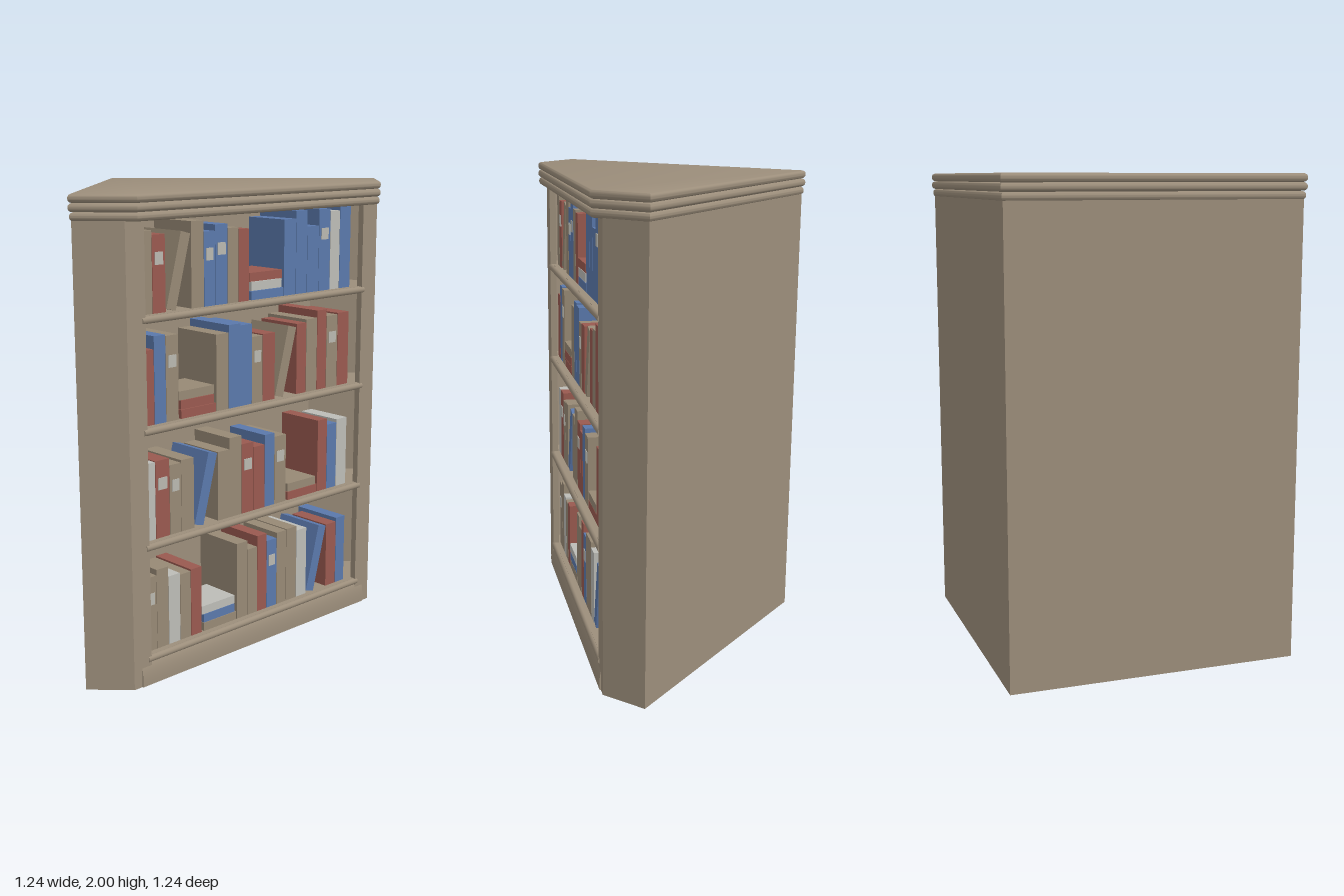
import * as THREE from 'three';
import { toCreasedNormals } from 'three/addons/utils/BufferGeometryUtils.js';

const mat = (name, color) => {
  const m = new THREE.MeshStandardMaterial({ color });
  m.name = name;
  return m;
};

const add = (parent, name, geo, material, x = 0, y = 0, z = 0) => {
  const mesh = new THREE.Mesh(geo, material);
  mesh.name = name;
  mesh.position.set(x, y, z);
  parent.add(mesh);
  return mesh;
};

// Completes half a floor plan of [x, z] points by mirroring it across the x = z diagonal
const mirrored = half => [...half, ...half.filter(([x, z]) => x !== z).map(([x, z]) => [z, x]).reverse()];

// Floor plan extruded between two heights, optionally with a rounded edge
function slab(plan, y0, y1, round = 0) {
  const shape = new THREE.Shape(plan.map(([x, z]) => new THREE.Vector2(x, z)));
  const geo = new THREE.ExtrudeGeometry(shape, {
    depth: y1 - y0 - 2 * round, bevelEnabled: round > 0, bevelSize: round,
    bevelThickness: round, bevelOffset: -round, bevelSegments: 5,
  });
  geo.rotateX(Math.PI / 2).translate(0, y1 - round, 0);
  return round ? toCreasedNormals(geo, 0.7) : geo;
}

export function createModel() {
  const model = new THREE.Group();
  model.name = 'cornerBookcase';
  const wood = mat('wood', 0x9c8e7b);
  const covers = {
    T: mat('tanCover', 0x978975),
    R: mat('redCover', 0x99594f),
    B: mat('blueCover', 0x5a78ab),
    W: mat('paleCover', 0xbcbcb7),
  };
  const label = mat('spineLabel', 0xb9b8b0);

  // Thin outer walls, short side panels and angled stiles
  add(model, 'carcass', slab(mirrored([
    [-0.585, -0.585], [0.585, -0.585], [0.585, -0.425], [0.525, -0.365],
    [0.545, -0.345], [0.61, -0.41], [0.61, -0.61], [-0.61, -0.61],
  ]).filter(([x, z], i, all) => all.findIndex(p => p[0] === x && p[1] === z) === i), 0, 1.91), wood);

  // Crown with three rounded mouldings
  [0.616, 0.62, 0.62].forEach((e, i) => {
    const y = 1.897 + i * 0.0343;
    add(model, 'crownMoulding', slab(mirrored([[-e, -e], [e, -e], [e, -0.36]]), y, y + 0.0343, 0.015), wood);
  });

  // Diagonal front: local x runs along the opening, local z points outward
  const front = new THREE.Group();
  front.name = 'diagonalFront';
  front.rotation.y = Math.PI / 4;
  model.add(front);
  add(front, 'backPanel', new THREE.BoxGeometry(1.29, 1.8, 0.015), wood, 0, 1.01, -0.195);

  // Plinth board with a softly rounded face
  const profile = new THREE.Shape();
  profile.moveTo(0.115, 0);
  profile.lineTo(0.147, 0);
  profile.quadraticCurveTo(0.15, 0.07, 0.135, 0.1);
  profile.lineTo(0.115, 0.1);
  const plinth = new THREE.ExtrudeGeometry(profile, { depth: 1.36, bevelEnabled: false, curveSegments: 8 });
  plinth.rotateY(-Math.PI / 2);
  add(front, 'plinth', toCreasedNormals(plinth, 0.5), wood, 0.68);

  // Shelves with half-round nosing
  const levels = [1.53, 1.085, 0.605, 0.125];
  const shelfPlan = mirrored([[-0.59, -0.59], [0.59, -0.59], [0.59, -0.43], [0.53, -0.345]]);
  const nosing = new THREE.CylinderGeometry(0.015, 0.015, 1.29, 14);
  nosing.rotateZ(Math.PI / 2);
  levels.forEach(y => {
    add(model, 'shelf', slab(shelfPlan, y - 0.029, y), wood);
    add(front, 'shelfNosing', nosing, wood, 0, y - 0.015, 0.132);
  });

  // Book order on each shelf by cover colour: "+" has a spine label, "/" leans,
  // and several letters together are a flat pile from the bottom up
  const rows = [
    'T R+ T/ T B+ B+ T R BWR B B B B+ W B',
    'R B T+ RRT T B B T+ R T/ R T R T+ R',
    'W R+ T+ T B/ T T R+ R B T+ RT R B W',
    'T+ T W T R TBW T T R B+ T T W B/ R B',
  ];
  const spineZ = 0.106, rowStart = -0.63, rowLength = 1.215;
  const pileWidth = 0.205, leanWidth = 0.133, lean = 0.26, layer = 0.039;

  // Small seeded generator for book sizes
  let seed = 11;
  const random = () => (seed = (seed * 16807) % 2147483647) / 2147483647;
  for (let i = 0; i < 5; i++) random();

  const addBook = (parent, w, h, d, colour, x = 0, y = 0) =>
    add(parent, 'book', new THREE.BoxGeometry(w, h, d), covers[colour], x, y + h / 2, spineZ - d / 2);

  rows.forEach((row, r) => {
    const shelf = new THREE.Group();
    shelf.name = 'bookRow';
    shelf.position.y = levels[r];
    front.add(shelf);

    // Standing books share the width left over by the pile and the leaning book
    const books = row.split(' ').map(code => ({
      colours: code.replace(/[+/]/g, ''),
      leans: code.includes('/'),
      labelled: code.includes('+'),
      share: 0.9 + 0.25 * random(),
      height: 0.285 + 0.075 * random(),
      depth: 0.215 + 0.03 * random(),
    }));
    const standing = books.filter(b => !b.leans && b.colours.length === 1);
    const unit = (rowLength - pileWidth - leanWidth) / standing.reduce((sum, b) => sum + b.share, 0);

    let x = rowStart;
    books.forEach(({ colours, leans, labelled, share, height, depth }) => {
      const slot = new THREE.Group();
      shelf.add(slot);
      let w = share * unit;
      if (colours.length > 1) {
        slot.name = 'bookPile';
        w = pileWidth;
        [...colours].forEach((c, k) =>
          addBook(slot, w - 0.015 - 0.01 * (k % 2), layer - 0.002, 0.2 - 0.008 * k, c, 0.005 * (1 - k), k * layer));
        slot.position.x = x + w / 2;
      } else if (leans) {
        // Tips to the right about its lower corner
        slot.name = 'leaningBook';
        w = leanWidth;
        addBook(slot, 0.05, 0.31, depth, colours);
        slot.rotation.z = -lean;
        slot.position.set(x + 0.026, 0.025 * Math.sin(lean), 0);
      } else {
        slot.name = 'standingBook';
        addBook(slot, w - 0.002, height, depth, colours);
        if (labelled) {
          add(slot, 'spineLabel', new THREE.BoxGeometry(w * 0.62, 0.05, 0.004), label, 0, height * 0.7, spineZ + 0.001);
        }
        slot.position.x = x + w / 2;
      }
      x += w;
    });
  });
  return model;
}
